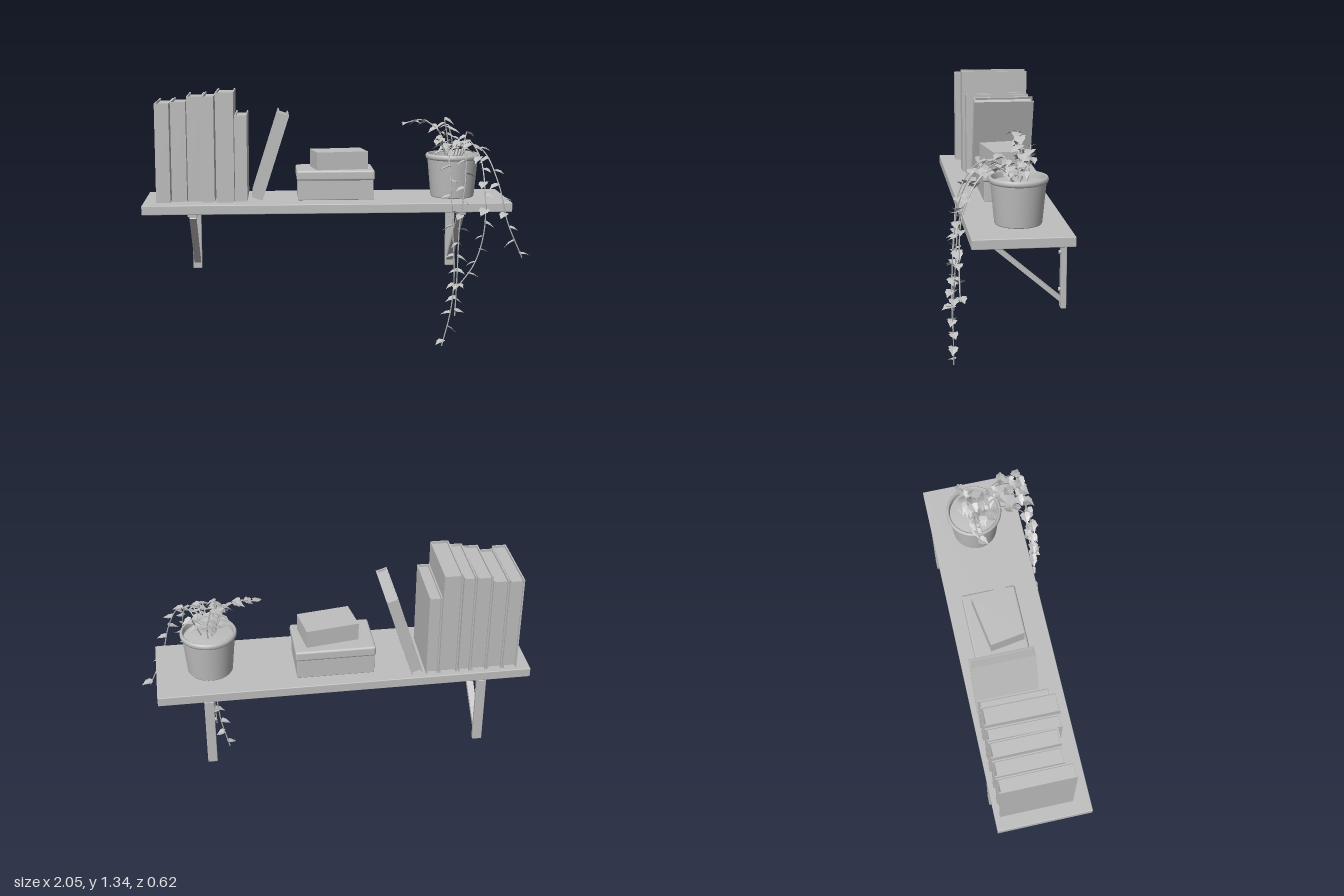
import * as THREE from 'three';
import { mergeGeometries } from 'three/addons/utils/BufferGeometryUtils.js';
import { RoundedBoxGeometry } from 'three/addons/geometries/RoundedBoxGeometry.js';

const SHELF_TOP = 0.765;

export function createModel() {
  const root = new THREE.Group();
  const grey = new THREE.MeshStandardMaterial({ color: 0xbfbfbf, side: THREE.DoubleSide });
  grey.name = 'plain grey';

  let seed = 7;
  const rand = (a, b) => {
    seed = (seed * 16807) % 2147483647;
    return a + (b - a) * (seed / 2147483647);
  };
  const add = (name, geometry, parent = root) => {
    const mesh = new THREE.Mesh(geometry, grey);
    mesh.name = name;
    parent.add(mesh);
    return mesh;
  };
  // Box given by its limits; r > 0 softens the edges
  const box = (name, [x0, x1], [y0, y1], [z0, z1], parent = root, r = 0) => {
    const s = [x1 - x0, y1 - y0, z1 - z0];
    const mesh = add(name, r ? new RoundedBoxGeometry(...s, 2, r) : new THREE.BoxGeometry(...s), parent);
    mesh.position.set((x0 + x1) / 2, (y0 + y1) / 2, (z0 + z1) / 2);
    return mesh;
  };
  const group = (name, parent = root) => {
    const g = new THREE.Group();
    g.name = name;
    parent.add(g);
    return g;
  };

  // Shelf board
  box('shelfBoard', [-1, 0.95], [0.715, SHELF_TOP], [-0.315, 0.18], root, 0.004);

  // Brackets: wall leg, top arm, diagonal brace and screws
  for (const x of [-0.74, 0.69]) {
    const b = group('bracket');
    b.position.x = x;
    box('wallLeg', [-0.025, 0.025], [0.33, 0.715], [-0.315, -0.287], b, 0.004);
    box('topArm', [-0.025, 0.025], [0.689, 0.715], [-0.29, 0.11], b, 0.004);
    const from = new THREE.Vector2(0.075, 0.686), to = new THREE.Vector2(-0.292, 0.372);
    const brace = add('brace', new THREE.BoxGeometry(0.036, 0.022, from.distanceTo(to)), b);
    brace.position.set(0, (from.y + to.y) / 2, (from.x + to.x) / 2);
    brace.rotation.x = -Math.atan2(from.y - to.y, from.x - to.x);
    for (const y of [0.425, 0.617]) {
      const screw = add('screw', new THREE.CylinderGeometry(0.01, 0.01, 0.01, 12), b);
      screw.rotation.x = Math.PI / 2;
      screw.position.set(0, y, -0.282);
    }
  }

  // Book with its spine to the front; origin at the lower right back corner
  const book = (w, h, d) => {
    const g = group('book'), t = 0.007;
    box('leftCover', [-w, -w + t], [0, h], [0, d], g);
    box('rightCover', [-t, 0], [0, h], [0, d], g);
    box('spine', [-w + t, -t], [0, h], [d - t, d], g);
    box('pages', [-w + t, -t], [0.008, h - 0.012], [0.012, d - t], g);
    return g;
  };
  // left edge, right edge, top, front, yaw
  const row = [
    [-0.93, -0.855, 1.29, 0.092, 0],
    [-0.85, -0.77, 1.295, 0.05, 0],
    [-0.765, -0.685, 1.323, 0.052, 0],
    [-0.68, -0.617, 1.325, 0.076, -0.015],
    [-0.61, -0.515, 1.345, 0.082, -0.01],
    [-0.51, -0.445, 1.222, 0.066, -0.015],
  ];
  for (const [x0, x1, top, front, yaw] of row) {
    const b = book(x1 - x0, top - SHELF_TOP, front + 0.288);
    b.position.set(x1, SHELF_TOP, -0.288);
    b.rotation.y = yaw;
  }
  const leaning = book(0.06, 0.474, 0.328);
  leaning.name = 'leaningBook';
  leaning.position.set(-0.37, SHELF_TOP, -0.288);
  leaning.rotation.z = -0.31;

  // Storage box with lid, and a smaller box turned on top
  box('storageBox', [-0.18, 0.225], [SHELF_TOP, 0.88], [-0.233, 0.04], root, 0.004);
  box('storageLid', [-0.187, 0.232], [0.87, 0.925], [-0.24, 0.047], root, 0.012);
  const small = box('smallBox', [-0.095, 0.185], [0.925, 1.02], [-0.175, 0.01]);
  small.rotation.y = 0.16;

  // Plant pot: smooth turned body, rolled rim, soil
  const PX = 0.666, PZ = -0.078;
  const lathe = (name, points) => {
    const m = add(name, new THREE.LatheGeometry(points.map(p => new THREE.Vector2(...p)), 40));
    m.position.set(PX, SHELF_TOP, PZ);
  };
  lathe('potBody', [[0, 0], [0.114, 0], [0.118, 0.006], [0.137, 0.208]]);
  lathe('potRim', [[0.136, 0.205], [0.143, 0.208], [0.147, 0.216], [0.147, 0.226],
    [0.143, 0.234], [0.137, 0.236], [0.131, 0.232], [0.128, 0.2]]);
  lathe('soil', [[0.13, 0.205], [0.07, 0.212], [0, 0.215]]);

  // Lobed leaf, folded along its midrib, pointing along +z from its base
  const half = [[0.2, -0.08], [0.48, 0.14], [0.4, 0.36], [0.42, 0.52], [0.2, 0.72]];
  const outline = [[0, 0], ...half, [0, 1.05], ...half.map(([x, z]) => [-x, z]).reverse()];
  const leafPoint = ([x, z]) => [x, 0.22 * Math.abs(x) - 0.2 * z * z, z];
  const leafCorners = [];
  outline.forEach((p, i) => {
    const q = outline[(i + 1) % outline.length];
    leafCorners.push(...leafPoint([0, 0.42]), ...leafPoint(p), ...leafPoint(q));
  });
  const leafShape = new THREE.BufferGeometry();
  leafShape.setAttribute('position', new THREE.Float32BufferAttribute(leafCorners, 3));
  leafShape.computeVertexNormals();
  const leaf = (p, yaw, pitch, size) => {
    const q = new THREE.Quaternion().setFromEuler(new THREE.Euler(pitch, yaw, rand(-0.25, 0.25), 'YXZ'));
    return leafShape.clone().applyMatrix4(
      new THREE.Matrix4().compose(p, q, new THREE.Vector3(size, size, size)));
  };

  // Stem along a curve with leaves on alternating sides
  const vine = (name, points, count, start, size, r = 0.0035) => {
    const g = group(name);
    const curve = new THREE.CatmullRomCurve3(points.map(p => new THREE.Vector3(...p)));
    add('stem', new THREE.TubeGeometry(curve, points.length * 8, r, 5), g);
    const leaves = [];
    for (let i = 0; i < count; i++) {
      const t = start + (0.975 - start) * i / Math.max(1, count - 1);
      const yaw = (i % 2 ? 1 : -1) * rand(0.4, 1.9);
      leaves.push(leaf(curve.getPointAt(t), yaw, rand(0, 0.4), size * rand(0.85, 1.15)));
    }
    add('leaves', mergeGeometries(leaves), g);
  };

  // Vines trailing over the front edge of the shelf
  vine('trailingVine', [[0.64, 0.97, -0.05], [0.62, 1.07, 0.03], [0.61, 1.05, 0.12], [0.612, 0.92, 0.205],
    [0.62, 0.7, 0.235], [0.635, 0.4, 0.245], [0.62, 0.2, 0.24], [0.575, 0.003, 0.235]], 15, 0.14, 0.055);
  vine('trailingVine', [[0.66, 0.97, -0.04], [0.68, 1.08, 0.05], [0.7, 1.02, 0.15], [0.69, 0.88, 0.215],
    [0.66, 0.65, 0.24], [0.65, 0.4, 0.25], [0.642, 0.17, 0.242]], 14, 0.14, 0.055);
  vine('trailingVine', [[0.69, 0.97, -0.05], [0.73, 1.08, 0.03], [0.78, 1.0, 0.14], [0.795, 0.83, 0.22],
    [0.79, 0.62, 0.24], [0.74, 0.45, 0.245], [0.65, 0.32, 0.24]], 13, 0.14, 0.055);
  vine('trailingVine', [[0.7, 0.97, -0.06], [0.75, 1.06, 0.03], [0.81, 1.02, 0.13], [0.87, 0.86, 0.215],
    [0.915, 0.67, 0.235], [0.995, 0.48, 0.238]], 10, 0.16, 0.055);

  // Shoots reaching sideways and up from the soil
  vine('sideShoot', [[0.64, 0.97, -0.08], [0.59, 1.12, -0.09], [0.5, 1.18, -0.1], [0.41, 1.165, -0.095]],
    9, 0.35, 0.055);
  vine('tallShoot', [[0.65, 0.97, -0.1], [0.64, 1.08, -0.1], [0.62, 1.19, -0.09]], 8, 0.3, 0.055);
  vine('tallShoot', [[0.67, 0.97, -0.12], [0.67, 1.06, -0.13], [0.65, 1.15, -0.14]], 7, 0.3, 0.055);
  vine('shortShoot', [[0.7, 0.97, -0.08], [0.73, 1.05, -0.1], [0.75, 1.11, -0.13]], 6, 0.3, 0.055);
  vine('shortShoot', [[0.63, 0.97, -0.06], [0.6, 1.05, -0.04], [0.57, 1.09, 0]], 6, 0.3, 0.055);
  vine('shortShoot', [[0.68, 0.97, -0.05], [0.69, 1.03, -0.02], [0.7, 1.07, 0.02]], 6, 0.3, 0.055);

  return root;
}
